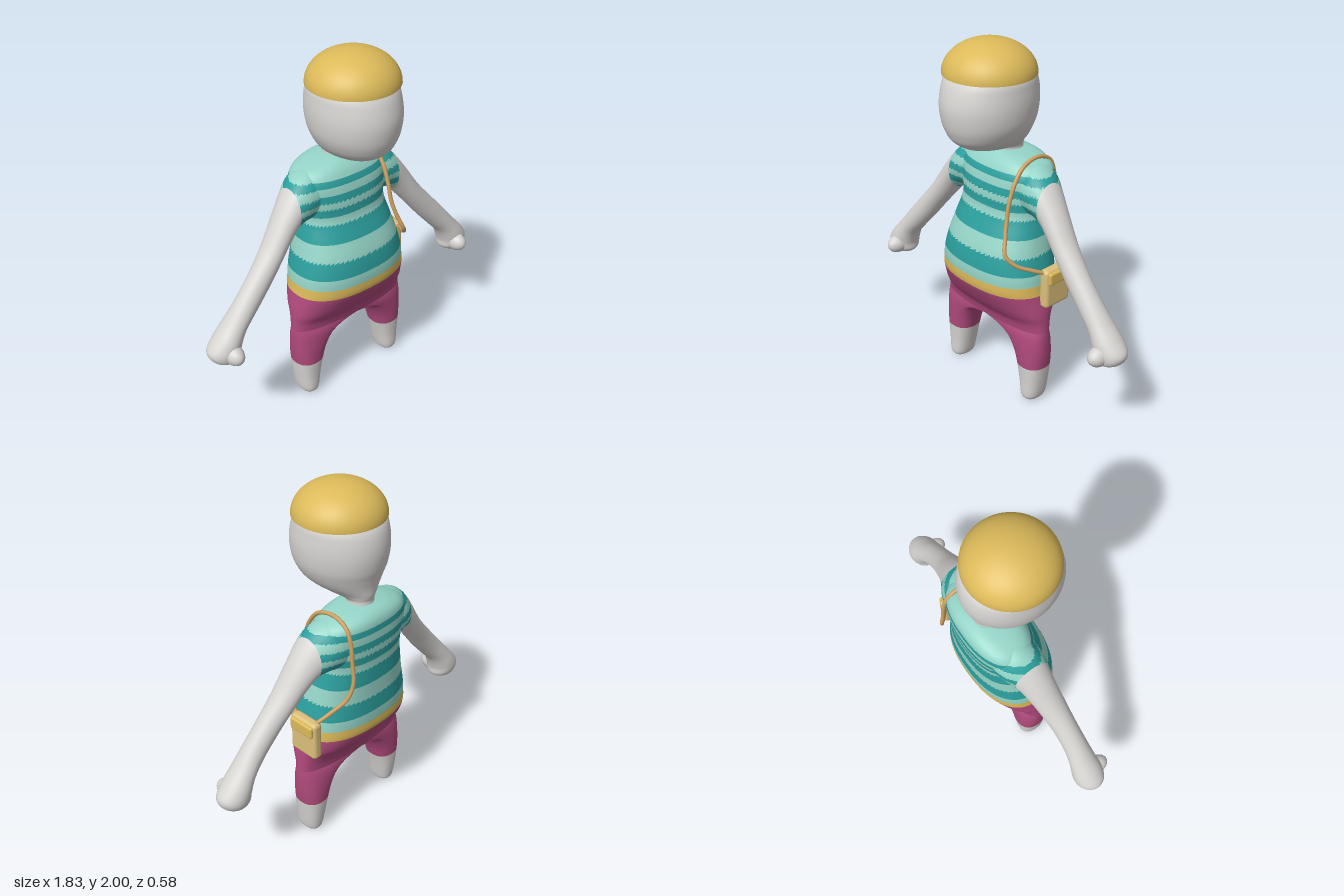
import * as THREE from 'three';
import { mergeGeometries, mergeVertices } from 'three/addons/utils/BufferGeometryUtils.js';
import { RoundedBoxGeometry } from 'three/addons/geometries/RoundedBoxGeometry.js';

const SIDES = 64;
const mat = (name, color) => new THREE.MeshStandardMaterial({ name, color });
const spow = (v, e) => Math.sign(v) * Math.pow(Math.abs(v), e);

// Smoothly subdivides a table of cross-section rows
function smoothRows(rows, steps) {
  const out = [];
  for (let i = 0; i < rows.length - 1; i++) {
    const p = [rows[Math.max(i - 1, 0)], rows[i], rows[i + 1], rows[Math.min(i + 2, rows.length - 1)]];
    for (let s = 0; s < steps; s++) {
      const t = s / steps;
      out.push(rows[i].map((_, k) => {
        const [a, b, c, d] = p.map((r) => r[k]);
        return b + 0.5 * t * (c - a + t * (2 * a - 5 * b + 4 * c - d + t * (3 * (b - c) + d - a)));
      }));
    }
  }
  out.push(rows[rows.length - 1]);
  return out;
}

// Skins a list of rings; either end may be capped
function loft(rows, point, capStart, capEnd) {
  const pos = [], index = [], n = SIDES;
  const rings = rows.map((r) => Array.from({ length: n }, (_, i) => {
    const t = (i / n) * Math.PI * 2;
    return point(r, Math.cos(t), Math.sin(t));
  }));
  rings.forEach((ring) => ring.forEach((p) => pos.push(...p)));
  const centre = (ring) => {
    pos.push(...[0, 1, 2].map((k) => ring.reduce((s, p) => s + p[k], 0) / n));
    return pos.length / 3 - 1;
  };
  const last = (rings.length - 1) * n;
  const c0 = capStart ? centre(rings[0]) : -1;
  const c1 = capEnd ? centre(rings[rings.length - 1]) : -1;
  for (let i = 0; i < n; i++) {
    const j = (i + 1) % n;
    for (let r = 0; r < last; r += n) index.push(r + i, r + n + i, r + j, r + j, r + n + i, r + n + j);
    if (capStart) index.push(c0, i, j);
    if (capEnd) index.push(c1, last + j, last + i);
  }
  const g = new THREE.BufferGeometry();
  g.setAttribute('position', new THREE.Float32BufferAttribute(pos, 3));
  g.setIndex(index);
  g.computeVertexNormals();
  return g;
}

function mirrored(geo) {
  const g = geo.clone().scale(-1, 1, 1), a = g.index.array;
  for (let i = 0; i < a.length; i += 3) [a[i], a[i + 1]] = [a[i + 1], a[i]];
  g.computeVertexNormals();
  return g;
}

// Sorts faces into material groups by where they lie
function paint(g, count, pick) {
  const buckets = Array.from({ length: count }, () => []);
  const a = g.index.array, p = g.attributes.position;
  for (let i = 0; i < a.length; i += 3) {
    const f = [a[i], a[i + 1], a[i + 2]];
    const x = f.reduce((s, v) => s + p.getX(v), 0) / 3, y = f.reduce((s, v) => s + p.getY(v), 0) / 3;
    buckets[pick(Math.abs(x), y)].push(...f);
  }
  g.setIndex(buckets.flat());
  let start = 0;
  buckets.forEach((b, m) => {
    if (b.length) g.addGroup(start, b.length, m);
    start += b.length;
  });
  return g;
}

export function createModel() {
  const group = new THREE.Group();
  const skin = mat('skin grey', 0xd6d4d1), pants = mat('trouser plum', 0xb04a7c);
  const gold = mat('gold', 0xdcba5a), teal = mat('dark teal', 0x2b9f9d), mint = mat('light mint', 0x94d3c6);
  const tan = mat('bag tan', 0xdcc07c), leather = mat('strap leather', 0xcda163);
  const palette = [skin, pants, gold, teal, mint];
  const add = (name, geo, material) => {
    const m = new THREE.Mesh(geo, material);
    m.name = name;
    group.add(m);
    return m;
  };

  // Clothing colours by height: [upper limit, palette index]
  const bands = [[0.22, 0], [0.68, 1], [0.74, 2], [0.8, 4], [0.895, 3], [0.99, 4], [1.08, 3], [1.125, 4],
    [1.17, 3], [1.205, 4], [1.245, 3], [1.29, 4], [1.325, 3], [9, 4]];
  const clothes = (x, y) => bands.find((b) => y < b[0])[1];

  // Torso: y, half width, z centre, z radius
  const torso = loft(smoothRows([
    [0.45, 0.378, -0.04, 0.1], [0.5, 0.375, -0.04, 0.115], [0.55, 0.372, -0.038, 0.148], [0.6, 0.366, -0.045, 0.185],
    [0.68, 0.35, -0.045, 0.222], [0.74, 0.342, -0.045, 0.227], [0.8, 0.333, -0.047, 0.226], [0.9, 0.308, -0.055, 0.215],
    [1.0, 0.283, -0.075, 0.195], [1.1, 0.262, -0.095, 0.175], [1.2, 0.272, -0.103, 0.173], [1.29, 0.285, -0.112, 0.163],
    [1.35, 0.25, -0.122, 0.145], [1.385, 0.165, -0.125, 0.115], [1.402, 0.07, -0.12, 0.078],
  ], 8), ([y, w, zc, zr], c, s) => [w * spow(c, 0.85), y, zc + zr * spow(s, 0.85)], false, true);

  // Leg: y, inner x, middle x, outer x, z centre, z radius; its top is half of the hip section
  const leg = loft(smoothRows([
    [0, 0.268, 0.295, 0.325, -0.035, 0.045], [0.012, 0.25, 0.295, 0.34, -0.035, 0.065], [0.04, 0.239, 0.295, 0.351, -0.035, 0.075],
    [0.12, 0.223, 0.292, 0.361, -0.04, 0.081], [0.22, 0.2, 0.285, 0.371, -0.042, 0.087], [0.3, 0.175, 0.265, 0.378, -0.042, 0.09],
    [0.37, 0.138, 0.22, 0.38, -0.041, 0.093], [0.41, 0.1, 0.16, 0.38, -0.04, 0.096], [0.435, 0.058, 0.085, 0.379, -0.04, 0.098],
    [0.45, 0, 0, 0.378, -0.04, 0.1],
  ], 6), ([y, xi, xm, xo, zc, zr], c, s) => {
    const k = spow(c, 0.85);
    return [xm + (c > 0 ? xo - xm : xm - xi) * k, y, zc + zr * spow(s, 0.85)];
  }, true, false);
  const parts = [torso, leg, mirrored(leg)];
  parts.forEach((g) => g.deleteAttribute('normal'));
  const body = mergeVertices(mergeGeometries(parts), 1e-4);
  body.computeVertexNormals();
  add('body', paint(body, 5, clothes), palette);

  // Arm with sleeve: top x, top y, bottom x, bottom y, z centre, z radius
  const arm = loft(smoothRows([
    [0.12, 1.375, 0.12, 1.08, -0.11, 0.11], [0.2, 1.37, 0.2, 1.08, -0.11, 0.125], [0.27, 1.35, 0.27, 1.09, -0.1, 0.12],
    [0.335, 1.302, 0.335, 1.065, -0.085, 0.1], [0.415, 1.2, 0.385, 1.01, -0.072, 0.085], [0.52, 1.045, 0.46, 0.92, -0.055, 0.074],
    [0.62, 0.925, 0.545, 0.815, -0.042, 0.066], [0.72, 0.81, 0.635, 0.715, -0.035, 0.066], [0.8, 0.715, 0.7, 0.642, -0.035, 0.074],
    [0.87, 0.637, 0.732, 0.568, -0.035, 0.085], [0.914, 0.575, 0.738, 0.52, -0.035, 0.083], [0.9, 0.525, 0.768, 0.496, -0.033, 0.066],
    [0.86, 0.5, 0.81, 0.491, -0.03, 0.03],
  ], 8), ([xt, yt, xb, yb, zc, zr], c, s) =>
    [(xt + xb) / 2 + (xt - xb) / 2 * c, (yt + yb) / 2 + (yt - yb) / 2 * c, zc - zr * s], true, true);
  const thumb = new THREE.SphereGeometry(1, 28, 20);
  for (const side of [1, -1]) {
    const name = side > 0 ? 'left' : 'right';
    const g = side > 0 ? arm.clone() : mirrored(arm);
    add(name + 'Arm', paint(g, 5, (x, y) => (x < 0.335 ? clothes(x, y) : 0)), palette);
    const t = add(name + 'Thumb', thumb, skin);
    t.scale.set(0.05, 0.055, 0.075);
    t.position.set(side * 0.805, 0.555, 0.025);
  }

  // Head and neck: y, half width, z centre, z radius
  add('head', loft(smoothRows([
    [1.37, 0.075, -0.12, 0.08], [1.415, 0.07, -0.12, 0.075], [1.435, 0.085, -0.09, 0.11], [1.455, 0.115, -0.025, 0.18],
    [1.5, 0.167, 0.012, 0.222], [1.55, 0.2, 0.022, 0.244], [1.61, 0.222, 0.022, 0.262], [1.69, 0.231, 0.02, 0.27],
    [1.77, 0.227, 0.016, 0.258], [1.83, 0.215, 0.015, 0.232], [1.9, 0.165, 0.02, 0.17], [1.95, 0.05, 0.02, 0.05],
  ], 6), ([y, w, zc, zr], c, s) => [w * c, y, zc + zr * s], true, true), skin);

  // Cap dome and its flat underside
  const dome = add('cap', new THREE.SphereGeometry(1, 56, 24, 0, Math.PI * 2, 0, Math.PI / 2), gold);
  dome.scale.set(0.24, 0.17, 0.24);
  dome.position.set(0, 1.83, 0.02);
  const under = add('capUnderside', new THREE.CircleGeometry(0.24, 56).rotateX(Math.PI / 2), gold);
  under.position.set(0, 1.83, 0.02);

  // Shoulder bag with flap
  add('bag', new RoundedBoxGeometry(0.06, 0.225, 0.18, 4, 0.022), tan).position.set(0.37, 0.728, -0.1);
  add('bagFlap', new RoundedBoxGeometry(0.025, 0.07, 0.155, 4, 0.012), gold).position.set(0.402, 0.794, -0.1);

  // Strap running over the shoulder, front then back
  const path = [
    [0.37, 0.82, -0.03], [0.34, 0.845, 0.03], [0.29, 0.885, 0.11], [0.25, 0.94, 0.146], [0.222, 1.02, 0.12],
    [0.205, 1.1, 0.095], [0.2, 1.2, 0.072], [0.2, 1.3, 0.03], [0.198, 1.36, -0.02], [0.196, 1.388, -0.09],
    [0.196, 1.385, -0.165], [0.198, 1.345, -0.225], [0.2, 1.26, -0.255], [0.2, 1.16, -0.265], [0.205, 1.06, -0.277],
    [0.235, 0.97, -0.262], [0.3, 0.89, -0.21], [0.37, 0.825, -0.16],
  ].map((p) => new THREE.Vector3(...p));
  add('bagStrap', new THREE.TubeGeometry(new THREE.CatmullRomCurve3(path), 140, 0.011, 10), leather);

  return group;
}
